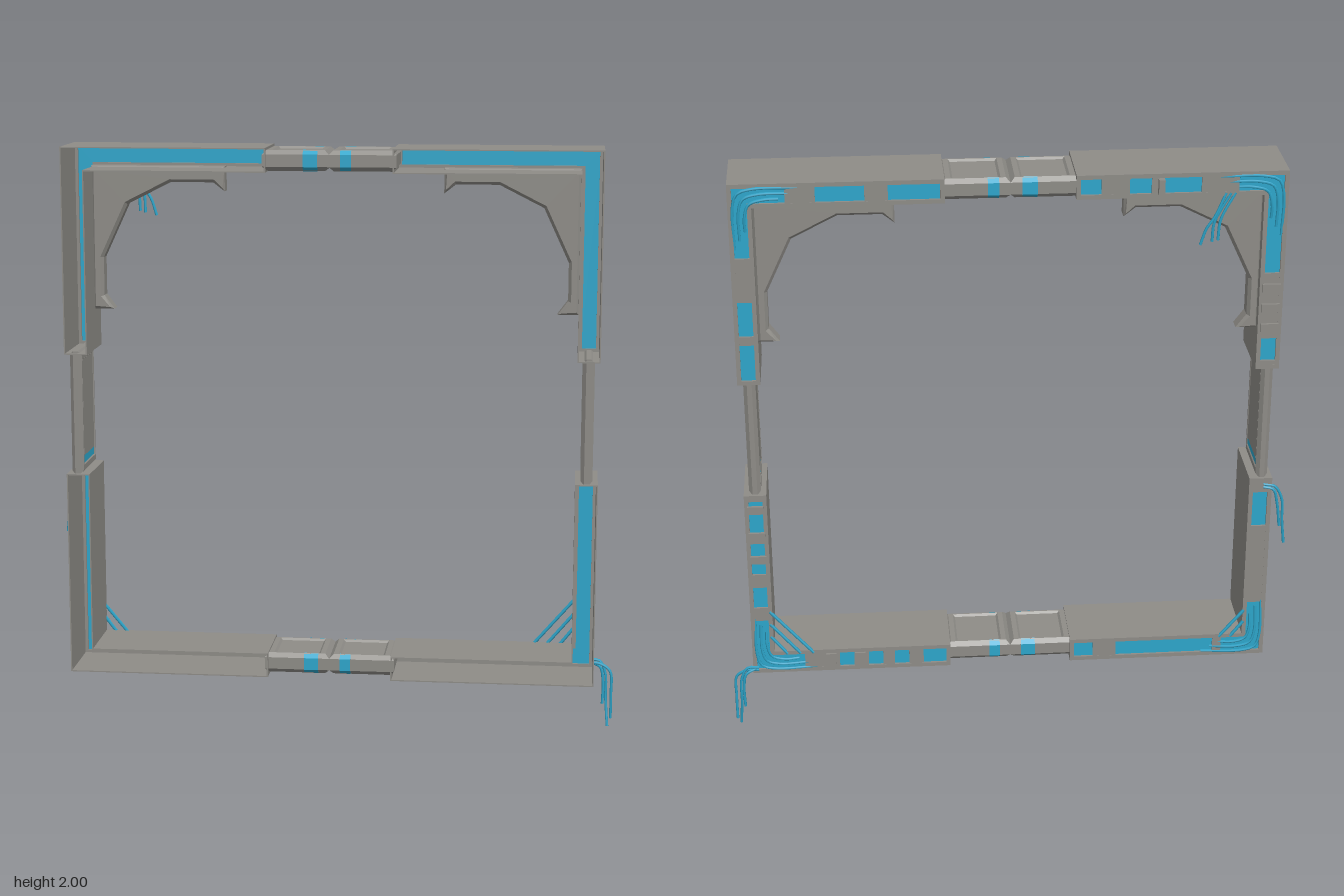
import * as THREE from 'three';

const V = (x, y, z) => new THREE.Vector3(x, y, z);

export function createModel() {
  const model = new THREE.Group();
  const grey = new THREE.MeshStandardMaterial({ color: 0x8e8c87 });
  grey.name = 'warm grey metal';
  const blue = new THREE.MeshStandardMaterial({ color: 0x2da6cb });
  blue.name = 'blue glow';

  const add = (parent, name, geometry, material) => {
    const mesh = new THREE.Mesh(geometry, material);
    mesh.name = name;
    parent.add(mesh);
    return mesh;
  };
  const group = (name) => {
    const g = new THREE.Group();
    g.name = name;
    model.add(g);
    return g;
  };
  // Box given by its limits on each axis
  const block = (parent, name, x0, x1, y0, y1, z0, z1, material) => {
    const g = new THREE.BoxGeometry(x1 - x0, y1 - y0, z1 - z0);
    g.translate((x0 + x1) / 2, (y0 + y1) / 2, (z0 + z1) / 2);
    return add(parent, name, g, material);
  };
  const shapeOf = (pts) => new THREE.Shape(pts.map(([x, y]) => new THREE.Vector2(x, y)));
  const slab = (shape, z0, z1) =>
    new THREE.ExtrudeGeometry(shape, { depth: z1 - z0, bevelEnabled: false }).translate(0, 0, z0);
  const cable = (parent, pts, r = 0.005) => {
    const curve = new THREE.CatmullRomCurve3(pts.map((p) => V(...p)), false, 'centripetal');
    return add(parent, 'cable', new THREE.TubeGeometry(curve, pts.length * 4, r, 5), blue);
  };

  // Corner sections: outer corner, inner corner, ends, then window spans along x and y
  const corners = [
    { name: 'upperLeftCorner', X: 0.88, Y: 2, xi: 0.805, yi: 1.92, xe: 0.197, ye: 1.31,
      wx: [[0.21, 0.376], [0.45, 0.605], [0.7, 0.866]],
      wy: [[1.325, 1.45], [1.48, 1.6], [1.75, 1.985]] },
    { name: 'upperRightCorner', X: -0.9, Y: 2, xi: -0.822, yi: 1.92, xe: -0.22, ye: 1.31,
      wx: [[-0.885, -0.74], [-0.62, -0.5], [-0.46, -0.39], [-0.3, -0.235]],
      wy: [[1.34, 1.42], [1.65, 1.985]] },
    { name: 'lowerLeftCorner', X: 0.88, Y: 0.212, xi: 0.805, yi: 0.295, xe: 0.197, ye: 0.903,
      wx: [[0.21, 0.29], [0.34, 0.39], [0.43, 0.48], [0.53, 0.58], [0.7, 0.866]],
      wy: [[0.225, 0.42], [0.47, 0.55], [0.6, 0.72], [0.76, 0.88]] },
    { name: 'lowerRightCorner', X: -0.9, Y: 0.212, xi: -0.822, yi: 0.295, xe: -0.22, ye: 0.903,
      wx: [[-0.885, -0.75], [-0.72, -0.38], [-0.3, -0.235]],
      wy: [[0.225, 0.42], [0.72, 0.85]] },
  ];

  for (const c of corners) {
    const { X, Y, xi, yi, xe, ye } = c;
    const a = Math.sign(xe - X), b = Math.sign(ye - Y);
    // L outline inset by t, always counter-clockwise
    const outline = (t) => {
      const pts = [
        [X + a * t, Y + b * t], [xe - a * t, Y + b * t], [xe - a * t, yi - b * t],
        [xi - a * t, yi - b * t], [xi - a * t, ye - b * t], [X + a * t, ye - b * t]];
      return a * b > 0 ? pts : pts.reverse();
    };
    const ring = (t) => {
      const s = shapeOf(outline(0));
      s.holes.push(shapeOf(outline(t)));
      return s;
    };
    const g = group(c.name);

    // Channel open at the front, closed by a rimmed blue panel at the back
    add(g, 'channelWalls', slab(ring(0.004), -0.11, 0.13), grey);
    add(g, 'backRim', slab(ring(0.014), -0.11, -0.09), grey);
    add(g, 'bluePanel', slab(shapeOf(outline(0.008)), -0.102, -0.098), blue);

    // Cover plates fill the back between the windows
    const gaps = (from, to, windows) => {
      const cuts = [Math.min(from, to), ...windows.flat(), Math.max(from, to)];
      const out = [];
      for (let i = 0; i < cuts.length; i += 2) {
        if (cuts[i + 1] - cuts[i] > 0.016) out.push([cuts[i], cuts[i + 1]]);
      }
      return out;
    };
    const [yl, yh] = [Math.min(Y, yi), Math.max(Y, yi)];
    const [xl, xh] = [Math.min(X, xi), Math.max(X, xi)];
    for (const [p, q] of gaps(X, xe, c.wx)) {
      block(g, 'beamCoverPlate', p, q, yl + 0.008, yh - 0.008, -0.1095, -0.102, grey);
    }
    for (const [p, q] of gaps(Y, ye, c.wy)) {
      block(g, 'postCoverPlate', xl + 0.008, xh - 0.008, p, q, -0.1095, -0.102, grey);
    }

    // Cables bending round the corner
    [0.016, 0.034, 0.052].forEach((o, i) => {
      const r = 0.22 - i * 0.03;
      cable(g, [[X + a * o, Y + b * r, -0.105], [X + a * o, Y + b * (o + 0.06), -0.111],
        [X + a * (o + 0.015), Y + b * (o + 0.015), -0.112],
        [X + a * (o + 0.06), Y + b * o, -0.111], [X + a * r, Y + b * o, -0.105]]);
    });
  }

  // Connectors: bevelled frame with a panel on both broad faces
  const hw = 0.108, midZ = 0.009;
  const connector = (name, length, thick, v, center, axes) => {
    const g = group(name);
    const hl = length / 2;
    const rect = (w, h) => shapeOf([[-w, -h], [w, -h], [w, h], [-w, h]]);
    const s = rect(hl - v, hw - v);
    s.holes.push(rect(hl - 0.024 - v / 2, hw - 0.012 - v / 2));
    const frame = new THREE.ExtrudeGeometry(s, {
      depth: thick - 2 * v, bevelThickness: v, bevelSize: v, bevelOffset: 0, bevelSegments: 1 });
    frame.translate(0, 0, v - thick / 2);
    add(g, 'frame', frame, grey);
    g.quaternion.setFromRotationMatrix(new THREE.Matrix4().makeBasis(...axes));
    g.position.set(...center);
    return g;
  };
  const flat = [V(1, 0, 0), V(0, 0, 1), V(0, -1, 0)];
  const upright = [V(0, 1, 0), V(0, 0, 1), V(1, 0, 0)];
  for (const [y, side] of [[1.959, 'upper'], [0.259, 'lower']]) {
    for (const [x, hand] of [[-0.122, 'Right'], [0.098, 'Left']]) {
      const g = connector(side + hand + 'Connector', 0.22, 0.068, 0.014, [x, y, midZ], flat);
      block(g, 'panel', -0.085, 0.085, -0.09, 0.09, -0.027, 0.027, grey);
    }
    // Blue bands wrapped over the bevelled front and back edges
    const bands = group(side + 'Bands');
    const profile = [[0.1015, -0.035], [0.1185, -0.0205], [0.1185, 0.0205], [0.1015, 0.035]];
    for (const [x0, x1] of [[-0.098, -0.05], [0.024, 0.06]]) {
      for (const face of ['front', 'back']) {
        const pts = profile.map(([z, h]) => [face === 'front' ? z : 2 * midZ - z, h]);
        const geo = slab(shapeOf(pts), 0, x1 - x0).rotateY(-Math.PI / 2).translate(x1, y, 0);
        add(bands, face + 'Band', geo, blue);
      }
    }
  }
  for (const [x, hand] of [[-0.865, 'right'], [0.842, 'left']]) {
    const g = connector(hand + 'SideConnector', 0.42, 0.04, 0.012, [x, 1.11, midZ], upright);
    block(g, 'blueSurround', -0.177, 0.19, -0.088, 0.088, -0.0165, 0.0165, blue);
    block(g, 'panel', -0.15, 0.178, -0.081, 0.081, -0.0185, 0.0185, grey);
  }

  // Angled brackets under the top beam
  const bracket = [[-0.828, 1.928], [-0.828, 1.446], [-0.756, 1.446], [-0.79, 1.492], [-0.79, 1.62],
    [-0.706, 1.8], [-0.558, 1.875], [-0.415, 1.875], [-0.376, 1.845], [-0.376, 1.928]];
  for (const m of [1, -1]) {
    const pts = bracket.map(([x, y]) => [m > 0 ? x : -x - 0.02, y]);
    const geo = new THREE.ExtrudeGeometry(shapeOf(pts), {
      depth: 0.045, bevelThickness: 0.012, bevelSize: 0.01, bevelOffset: -0.01, bevelSegments: 1 });
    geo.translate(0, 0, -0.07);
    add(model, m > 0 ? 'rightBracket' : 'leftBracket', geo, grey);
  }

  // Small raised blocks on the back
  const studs = group('backStuds');
  for (const y of [1.6, 1.53, 1.46]) block(studs, 'stud', -0.89, -0.83, y - 0.014, y + 0.014, -0.118, -0.108, grey);
  for (const y of [0.85, 0.75, 0.66]) block(studs, 'stud', 0.815, 0.87, y - 0.014, y + 0.014, -0.118, -0.108, grey);
  for (const x of [0.51, 0.61]) block(studs, 'stud', x - 0.018, x + 0.018, 0.23, 0.28, -0.117, -0.108, grey);
  block(studs, 'tallStud', -0.5, -0.48, 1.935, 1.985, -0.132, -0.108, grey);

  // Straight cables across the lower corners
  const stays = group('cornerStays');
  for (const d of [0.145, 0.1, 0.055]) {
    cable(stays, [[0.815 - d, 0.285, -0.108], [0.815, 0.295 + d * 1.1, -0.108]], 0.006);
  }
  for (const d of [0.085, 0.045]) {
    cable(stays, [[-0.827 + d, 0.285, -0.108], [-0.827, 0.295 + d * 1.1, -0.108]], 0.006);
  }

  // Loose hanging cables
  const loose = group('looseCables');
  cable(loose, [[0.86, 0.235, -0.11], [0.9, 0.235, -0.112], [0.922, 0.19, -0.113], [0.925, 0.1, -0.11], [0.932, 0.005, -0.095]]);
  cable(loose, [[0.86, 0.225, -0.11], [0.9, 0.225, -0.108], [0.938, 0.2, -0.105], [0.943, 0.12, -0.105], [0.943, 0.03, -0.108]]);
  cable(loose, [[0.87, 0.23, -0.11], [0.905, 0.21, -0.114], [0.915, 0.16, -0.114], [0.914, 0.08, -0.112]]);
  cable(loose, [[-0.87, 0.88, -0.11], [-0.91, 0.87, -0.108], [-0.937, 0.82, -0.108], [-0.942, 0.74, -0.106], [-0.952, 0.65, -0.104]]);
  cable(loose, [[-0.87, 0.87, -0.11], [-0.905, 0.86, -0.112], [-0.92, 0.81, -0.112], [-0.932, 0.72, -0.11]]);
  cable(loose, [[-0.7, 1.93, -0.108], [-0.665, 1.85, -0.112], [-0.64, 1.81, -0.11], [-0.622, 1.755, -0.108]]);
  cable(loose, [[-0.73, 1.93, -0.108], [-0.685, 1.84, -0.11], [-0.678, 1.77, -0.11]]);
  cable(loose, [[-0.715, 1.93, -0.11], [-0.665, 1.83, -0.108], [-0.66, 1.765, -0.106]]);

  return model;
}
